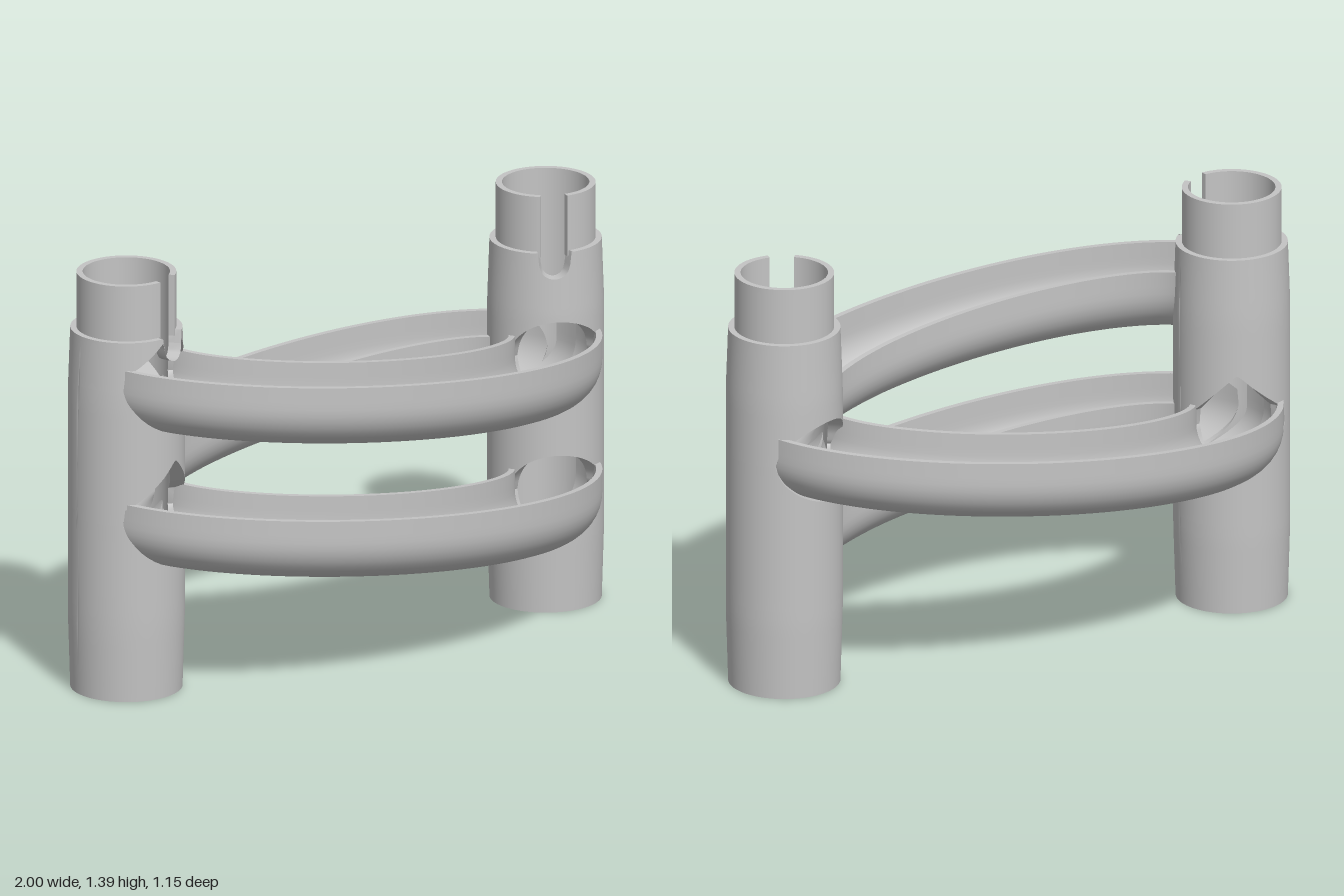
import * as THREE from 'three';
import { mergeGeometries } from 'three/addons/utils/BufferGeometryUtils.js';

const A = 0.8, B = 0.425;             // half axes of the oval centre line
const POST_X = 0.8125, BORE = 0.14;
const RAIL = 0.15, BALL = 0.13, LIP = 0.075;
const SLOT_ANGLE = 0.43, SLOT_HALF = 0.28;
const TOP = 1.395, SHOULDER = 1.21;

// Smooth grid surface from a rule f(u, v) -> [x, y, z]
function surface(f, nu, nv) {
  const pos = [], idx = [];
  for (let i = 0; i <= nu; i++)
    for (let j = 0; j <= nv; j++) pos.push(...f(i / nu, j / nv));
  for (let i = 0; i < nu; i++)
    for (let j = 0; j < nv; j++) {
      const a = i * (nv + 1) + j, b = a + nv + 1;
      idx.push(a, b, b + 1, a, b + 1, a + 1);
    }
  const g = new THREE.BufferGeometry();
  g.setAttribute('position', new THREE.Float32BufferAttribute(pos, 3));
  g.setIndex(idx);
  g.computeVertexNormals();
  return g;
}

const lerp = THREE.MathUtils.lerp;

// Curved wall band between heights lo(a) and hi(a), with lips on all its edges
function wallBand(lo, hi, outer, inner, a0, a1, closeEnds) {
  const n = 180;
  const at = (r, a, y) => [r(y) * Math.sin(a), y, r(y) * Math.cos(a)];
  const ang = u => lerp(a0, a1, u);
  const side = r => surface((u, v) => at(r, ang(u), lerp(lo(ang(u)), hi(ang(u)), v)), n, 10);
  const lip = h => surface((u, v) => {
    const a = ang(u), y = h(a);
    return at(() => lerp(inner(y), outer(y), v), a, y);
  }, n, 1);
  const parts = [side(outer), side(inner), lip(lo), lip(hi)];
  if (closeEnds) for (const a of [a0, a1])
    parts.push(surface((u, v) => {
      const y = lerp(lo(a), hi(a), v);
      return at(() => lerp(inner(y), outer(y), u), a, y);
    }, 1, 1));
  return mergeGeometries(parts);
}

// Point on the oval: side +1 is the front half, -1 the back half
const oval = (t, side) => [-A * Math.cos(t), side * B * Math.sin(t)];

// Open half-pipe following half of the oval, sloping evenly along x
function railGeometry(midY, side) {
  const place = (t, across, up) => {
    const [x, z] = oval(t, side);
    const nx = x / (A * A), nz = z / (B * B), l = Math.hypot(nx, nz);
    return [x + nx / l * across, midY - side * 0.1 * x / A + up, z + nz / l * across];
  };
  const shell = r => surface((u, v) => {
    const w = v * 1.3 - 0.15;                       // straight walls above a half circle
    if (w <= 0) return place(u * Math.PI, -r, LIP * -w / 0.15);
    if (w >= 1) return place(u * Math.PI, r, LIP * (w - 1) / 0.15);
    return place(u * Math.PI, -r * Math.cos(w * Math.PI), -r * Math.sin(w * Math.PI));
  }, 96, 26);
  const rim = s => surface((u, v) => place(u * Math.PI, s * lerp(BALL, RAIL, v), LIP), 96, 1);
  const end = t => surface((u, v) => {
    const r = lerp(BALL, RAIL, v);
    return place(t, -r * Math.cos(u * Math.PI), -r * Math.sin(u * Math.PI));
  }, 20, 1);
  return mergeGeometries([shell(RAIL), shell(BALL), rim(-1), rim(1), end(0), end(Math.PI)]);
}

// Horizontal distance from a point to the half oval on its own side
function pathDistance(x, z) {
  let best = 9;
  for (let i = 0; i <= 80; i++) {
    const [px, pz] = oval(i / 80 * Math.PI, Math.sign(z) || 1);
    best = Math.min(best, Math.hypot(px - x, pz - z));
  }
  return best;
}

// Hollow post with ball openings; front and back list opening heights, low to high
function post(s, front, back, gabled, material) {
  const group = new THREE.Group();
  const slot = -s * SLOT_ANGLE;
  const outer = y => y < 0.25 ? lerp(0.18, 0.1875, y / 0.25)
    : y > 1 ? lerp(0.1875, 0.18, (y - 1) / 0.21) : 0.1875;
  const inner = y => y < 0.2 ? 0.167 : BORE;
  const bodyTop = a => {
    const d = Math.abs(Math.atan2(Math.sin(a - slot), Math.cos(a - slot)));
    return d > SLOT_HALF ? SHOULDER : 1.17 - 0.165 * Math.sqrt(SLOT_HALF ** 2 - d * d);
  };
  const cache = new Map();
  // Heights where the wall starts and stops at angle a
  const edges = a => {
    if (cache.has(a)) return cache.get(a);
    const x = s * POST_X + 0.165 * Math.sin(a), z = 0.165 * Math.cos(a);
    const d = pathDistance(x, z), top = bodyTop(a), e = [0];
    for (const y of z > 0 ? front : back) {
      const r = 0.135, h = d < r ? Math.sqrt(r * r - d * d) : 0;
      const roof = h === 0 ? 0 : gabled ? 0.2 - 1.1 * d : h;
      const open = y < 0.35 && z <= 0 ? 0 : 1;
      e.push(y - h * open, y + roof * open);
    }
    e.push(top);
    for (let i = 1; i < e.length; i++) e[i] = Math.min(top, Math.max(e[i], e[i - 1]));
    cache.set(a, e);
    return e;
  };
  const bands = [0, 2, 4].map(i => wallBand(a => edges(a)[i], a => edges(a)[i + 1],
    outer, inner, slot, slot + Math.PI * 2, false));
  const body = new THREE.Mesh(mergeGeometries(bands), material);
  body.name = 'postBody';

  // Slotted sleeve on top
  const sleeve = new THREE.Mesh(wallBand(() => 1.19, () => TOP, () => 0.16, () => BORE,
    slot + SLOT_HALF, slot + Math.PI * 2 - SLOT_HALF, true), material);
  sleeve.name = 'slottedSleeve';
  group.add(body, sleeve);

  // Ramp that sends a dropped ball out of the starting post
  if (gabled) {
    const ramp = new THREE.Mesh(surface((u, v) => {
      const a = u * Math.PI * 2, r = v * BORE;
      return [r * Math.sin(a), 1.05 - 0.85 * r * Math.cos(a - slot), r * Math.cos(a)];
    }, 48, 6), material);
    ramp.name = 'entryRamp';
    group.add(ramp);
  }
  group.position.x = s * POST_X;
  return group;
}

export function createModel() {
  const model = new THREE.Group();
  model.name = 'marbleRun';
  const material = new THREE.MeshStandardMaterial({ color: 0xc4c4c4, side: THREE.DoubleSide });
  material.name = 'lightGrey';

  // Three sloping rails: two in front, one behind
  const rails = [['upperFrontRail', 0.945, 1], ['backRail', 0.72, -1], ['lowerFrontRail', 0.495, 1]];
  for (const [name, y, side] of rails) {
    const rail = new THREE.Mesh(railGeometry(y, side), material);
    rail.name = name;
    model.add(rail);
  }

  // Two posts; 0.3 marks a closed place in the back wall
  const start = post(-1, [0.595, 1.045], [0.3, 0.62], true, material);
  start.name = 'startPost';
  const end = post(1, [0.395, 0.845], [0.3, 0.795], false, material);
  end.name = 'endPost';
  model.add(start, end);
  return model;
}
